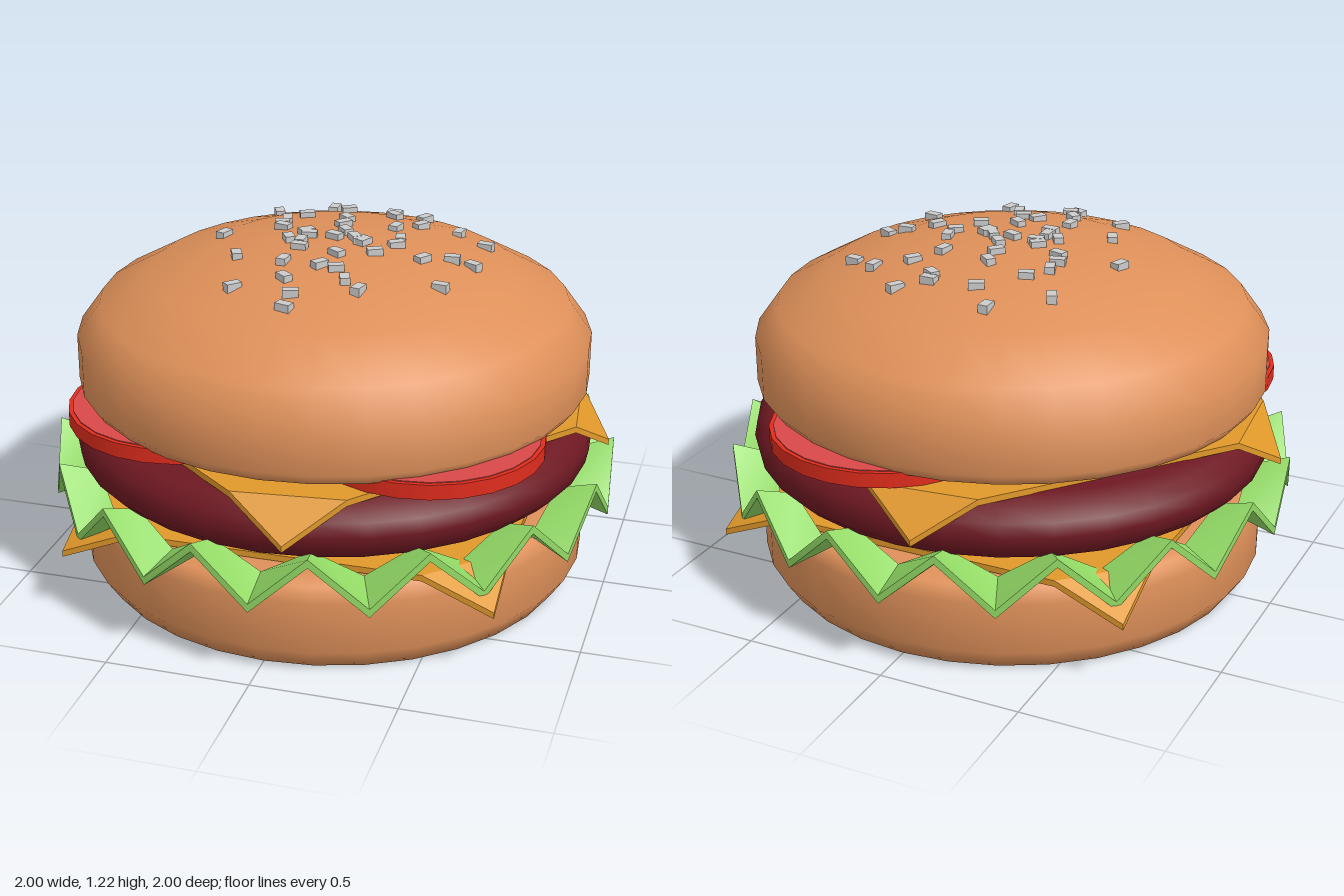
import * as THREE from 'three';
import { toCreasedNormals } from 'three/addons/utils/BufferGeometryUtils.js';
import { ConvexGeometry } from 'three/addons/geometries/ConvexGeometry.js';

const mat = (color) => new THREE.MeshStandardMaterial({ color });
const BUN = mat(0xde9059), PATTY = mat(0x6e1822), LETTUCE = mat(0x92d965);
const CHEESE = mat(0xe0982a), SKIN = mat(0xdf2c1c), FLESH = mat(0xd94848), SEED = mat(0xcccccc);

function add(parent, name, geometry, material) {
  const mesh = new THREE.Mesh(geometry, material);
  mesh.name = name;
  parent.add(mesh);
  return mesh;
}

// Round part from [radius, height] points, bottom to top
const turned = (profile) =>
  new THREE.LatheGeometry(profile.map(([r, y]) => new THREE.Vector2(r, y)), 32);

const TOP_BUN = [[0, 0.65], [0.6, 0.65], [0.82, 0.66], [0.87, 0.68], [0.9, 0.72], [0.9, 0.88],
  [0.82, 0.99], [0.64, 1.09], [0.42, 1.16], [0.2, 1.192], [0, 1.2]];

// Height of the bun's crown at a given radius
function crownHeight(r) {
  for (let i = TOP_BUN.length - 1; i > 5; i--) {
    const [r0, y0] = TOP_BUN[i], [r1, y1] = TOP_BUN[i - 1];
    if (r <= r1) return y0 + (y1 - y0) * (r - r0) / (r1 - r0);
  }
  return 0.9;
}

// Zigzag ring: 16 waves, taller at the outer rim
function lettuceGeometry() {
  const section = [[1, 0.09, 0.015], [0.86, 0.045, 0.015], [0.86, 0.045, -0.015], [1, 0.09, -0.015]];
  const n = 32, pos = [], index = [];
  for (let i = 0; i < n; i++) {
    const a = i / n * Math.PI * 2, sign = i % 2 ? 1 : -1;
    for (const [r, wave, lift] of section)
      pos.push(r * Math.sin(a), 0.375 + sign * wave + lift, r * Math.cos(a));
    for (let k = 0; k < 4; k++) {
      const j = ((i + 1) % n) * 4, m = (k + 1) % 4;
      index.push(i * 4 + k, j + k, i * 4 + m, j + k, j + m, i * 4 + m);
    }
  }
  const g = new THREE.BufferGeometry();
  g.setAttribute('position', new THREE.Float32BufferAttribute(pos, 3));
  g.setIndex(index);
  return toCreasedNormals(g, 0.9);
}

// Square slice whose four corners fold down at distance `fold` from the centre
function cheeseSlice(name, y, fold, tip, drop, turn) {
  const slice = new THREE.Group();
  slice.name = name;
  const thick = 0.022, half = 1.06 - fold, plate = [];
  const slab = (pts) => new ConvexGeometry(
    pts.flatMap((p) => [p, p.clone().setY(p.y - thick)]));
  for (let i = 0; i < 4; i++) {
    const place = (u, v, h) => new THREE.Vector3(v, h, u)
      .applyAxisAngle(new THREE.Vector3(0, 1, 0), turn + i * Math.PI / 2);
    const a = place(fold, -half, 0), b = place(fold, half, 0);
    plate.push(a, b);
    add(slice, 'foldedCorner', slab([a, b, place(tip, 0, -drop)]), CHEESE);
  }
  add(slice, 'slicePlate', slab(plate), CHEESE);
  slice.position.y = y;
  return slice;
}

export function createModel() {
  const burger = new THREE.Group();
  burger.name = 'burger';

  // Buns and patty
  add(burger, 'bottomBun', turned([[0, 0], [0.6, 0], [0.85, 0.004], [0.9, 0.08], [0.9, 0.26],
    [0.87, 0.31], [0.8, 0.325], [0, 0.325]]), BUN);
  add(burger, 'topBun', turned(TOP_BUN), BUN);
  add(burger, 'patty', turned([[0, 0.4], [0.8, 0.4], [0.87, 0.42], [0.91, 0.46], [0.92, 0.51],
    [0.91, 0.56], [0.87, 0.6], [0.8, 0.615], [0, 0.615]]), PATTY);

  // Cheese slices and lettuce
  burger.add(cheeseSlice('lowerCheese', 0.35, 0.89, 1.06, 0.1, Math.PI / 4));
  burger.add(cheeseSlice('upperCheese', 0.635, 0.87, 0.98, 0.125, 0.11));
  add(burger, 'lettuce', lettuceGeometry(), LETTUCE);

  // Tomato slices
  for (const [x, z] of [[0.43, 0.39], [-0.43, 0.37], [0.2, -0.55]]) {
    const tomato = new THREE.Group();
    tomato.name = 'tomatoSlice';
    add(tomato, 'tomatoSkin', new THREE.CylinderGeometry(0.4, 0.4, 0.052, 24), SKIN);
    add(tomato, 'tomatoFlesh', new THREE.CylinderGeometry(0.385, 0.385, 0.004, 24), FLESH)
      .position.y = 0.027;
    tomato.position.set(x, 0.663, z);
    burger.add(tomato);
  }

  // Sesame seeds, as x, z pairs on the crown
  const spots = [
    -0.14, -0.49, 0.21, -0.46, -0.06, -0.4, 0.11, -0.41, 0.12, -0.37, -0.31, -0.35, 0.37, -0.32,
    0.24, -0.28, -0.18, -0.27, 0.48, -0.26, -0.02, -0.23, -0.23, -0.19, 0.17, -0.19, -0.01, -0.15,
    -0.23, -0.13, -0.21, -0.08, 0.02, -0.07, 0.22, -0.06, -0.41, -0.02, -0.11, -0.03, -0.09, 0,
    0, 0, 0.07, -0.01, 0.09, 0.01, 0.11, 0.02, 0.22, 0, 0.42, 0.01, 0.49, 0, -0.15, 0.05,
    -0.1, 0.07, 0.33, 0.07, 0.17, 0.1, -0.09, 0.12, 0.05, 0.15, -0.29, 0.2, -0.11, 0.24,
    0.02, 0.25, 0.08, 0.26, 0.43, 0.23, -0.07, 0.36, 0.13, 0.33, 0.19, 0.38, -0.23, 0.42,
    -0.02, 0.45, -0.02, 0.52];
  const seedGeometry = new THREE.BoxGeometry(0.034, 0.034, 0.054);
  const seeds = new THREE.Group();
  seeds.name = 'sesameSeeds';
  for (let i = 0; i < spots.length; i += 2) {
    const x = spots[i], z = spots[i + 1];
    const seed = add(seeds, 'seed', seedGeometry, SEED);
    seed.position.set(x, crownHeight(Math.hypot(x, z)) + 0.004, z);
    seed.rotation.y = i * 1.3;
  }
  burger.add(seeds);
  return burger;
}
